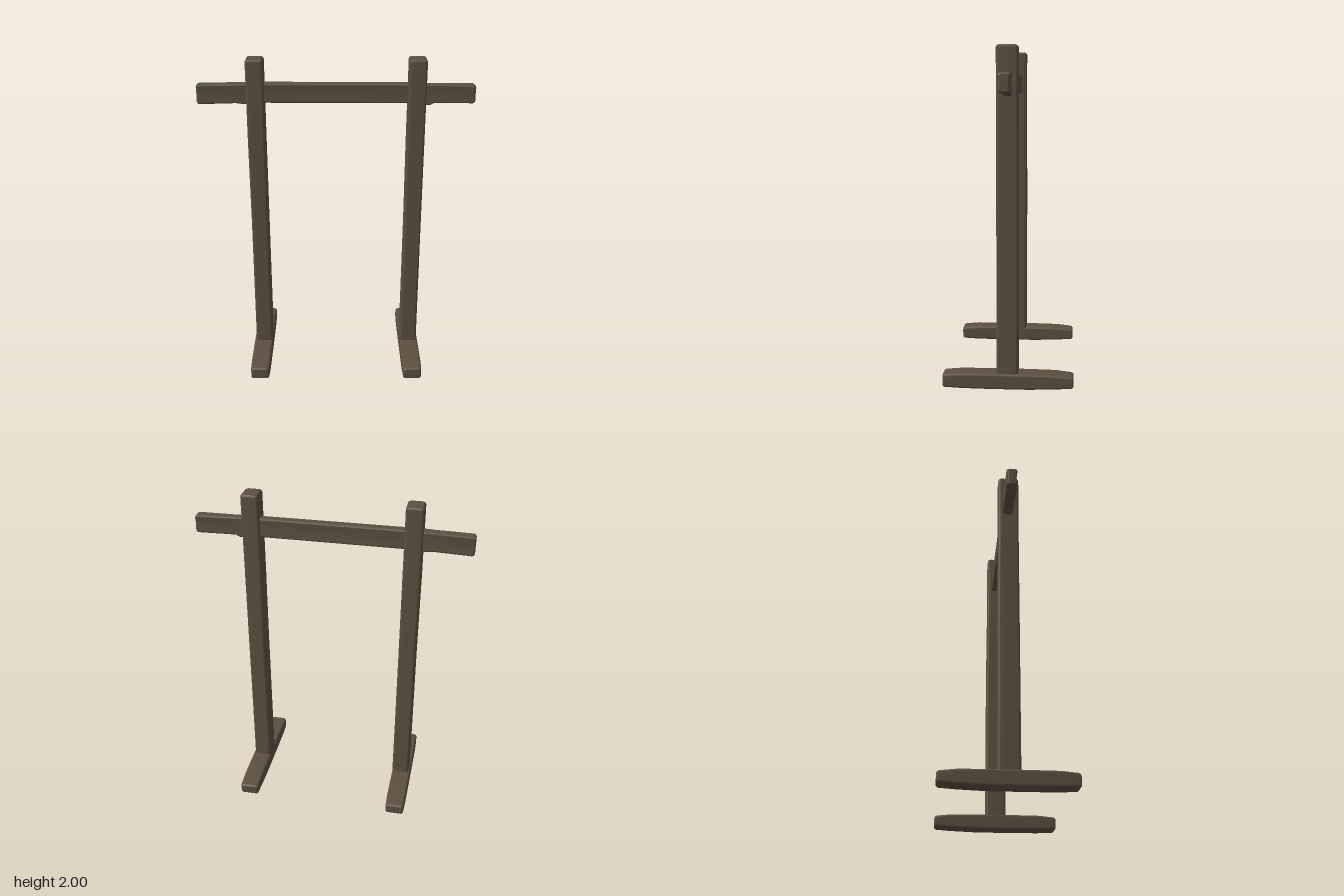
import * as THREE from 'three';

// Rounded rectangle loop, counter-clockwise; pinch hollows the two v sides.
function sectionLoop([t, u0, u1, v0, v1], r, pinch) {
  const pts = [];
  const cu = (u0 + u1) / 2, cv = (v0 + v1) / 2, hu = (u1 - u0) / 2, hv = (v1 - v0) / 2;
  [[1, 1], [-1, 1], [-1, -1], [1, -1]].forEach(([su, sv], k) => {
    for (let i = 0; i <= 3; i++) {
      const a = (k + i / 3) * Math.PI / 2;
      pts.push([cu + su * (hu - r) + r * Math.cos(a), cv + sv * (hv - r) + r * Math.sin(a), t]);
    }
    if (k === 0) pts.push([cu, cv + hv - pinch, t]);
    if (k === 2) pts.push([cu, cv - hv + pinch, t]);
  });
  return pts;
}

// Timber lofted through stations [t, u0, u1, v0, v1]; order gives the world axes of u, v and t.
function timber(stations, order, r, pinch = 0) {
  const soft = 0.014;
  const shrink = ([t, a, b, c, d], nt) => [nt, a + soft * 0.7, b - soft * 0.7, c + soft * 0.7, d - soft * 0.7];
  const first = stations[0], last = stations[stations.length - 1];
  const inner = stations.map((s) => [...s]);
  inner[0][0] += soft;
  inner[inner.length - 1][0] -= soft;
  const mid = (s, dt) => [s[0] + dt, s[1] + 0.003, s[2] - 0.003, s[3] + 0.003, s[4] - 0.003];
  const all = [shrink(first, first[0]), mid(first, soft * 0.4), ...inner,
    mid(last, -soft * 0.4), shrink(last, last[0])];
  const loops = all.map((s) => sectionLoop(s, r, pinch));
  const n = loops[0].length, pos = [], idx = [];
  const put = (p) => {
    const q = [0, 0, 0];
    order.forEach((axis, i) => { q[axis] = p[i]; });
    pos.push(...q);
    return pos.length / 3 - 1;
  };
  loops.forEach((loop) => loop.forEach(put));
  for (let i = 0; i < loops.length - 1; i++) {
    for (let j = 0; j < n; j++) {
      const a = i * n + j, b = i * n + (j + 1) % n;
      idx.push(a, b, b + n, a, b + n, a + n);
    }
  }
  // End caps
  [[loops[0], all[0], true], [loops[loops.length - 1], all[all.length - 1], false]].forEach(([loop, s, flip]) => {
    const c = put([(s[1] + s[2]) / 2, (s[3] + s[4]) / 2, s[0]]);
    const ring = loop.map(put);
    ring.forEach((p, j) => {
      const q = ring[(j + 1) % n];
      idx.push(c, flip ? q : p, flip ? p : q);
    });
  });
  const geo = new THREE.BufferGeometry();
  geo.setAttribute('position', new THREE.Float32BufferAttribute(pos, 3));
  geo.setIndex(idx);
  geo.computeVertexNormals();
  return geo;
}

export function createModel() {
  const model = new THREE.Group();
  model.name = 'timberFrame';
  const wood = new THREE.MeshStandardMaterial({ color: 0x5c4f40 });
  wood.name = 'darkWood';
  const add = (name, geo, x = 0) => {
    const mesh = new THREE.Mesh(geo, wood);
    mesh.name = name;
    mesh.position.x = x;
    model.add(mesh);
  };

  // Upright posts: u = z, v = x, running up y
  const post = [
    [0.04, -0.06, 0.066, -0.053, 0.055],
    [0.5, -0.06, 0.066, -0.052, 0.054],
    [1.0, -0.062, 0.066, -0.051, 0.053],
    [1.5, -0.059, 0.065, -0.053, 0.053],
    [2.0, -0.059, 0.066, -0.052, 0.053],
  ];
  // Feet: u = x, v = y, running along z, with slightly raised tips
  const foot = [
    [-0.388, -0.058, 0.058, 0.012, 0.082],
    [-0.28, -0.06, 0.06, 0.006, 0.092],
    [-0.12, -0.06, 0.06, 0.0, 0.095],
    [0.12, -0.06, 0.06, 0.0, 0.095],
    [0.28, -0.06, 0.06, 0.002, 0.094],
    [0.388, -0.058, 0.058, 0.006, 0.086],
  ];
  [['left', 1], ['right', -1]].forEach(([side, s]) => {
    add(side + 'Post', timber(post, [2, 0, 1], 0.014), s * 0.483);
    add(side + 'Foot', timber(foot, [0, 1, 2], 0.014), s * 0.488);
  });

  // Crossbeam through both posts: u = y, v = z, running along x
  add('crossbeam', timber([
    [-0.835, 1.724, 1.844, -0.036, 0.03],
    [-0.6, 1.73, 1.848, -0.034, 0.029],
    [-0.55, 1.724, 1.85, -0.034, 0.029],
    [-0.42, 1.732, 1.851, -0.033, 0.027],
    [0.42, 1.73, 1.848, -0.032, 0.027],
    [0.56, 1.716, 1.845, -0.027, 0.026],
    [0.585, 1.73, 1.844, -0.028, 0.026],
    [0.833, 1.73, 1.84, -0.038, 0.032],
  ], [1, 2, 0], 0.011, 0.006));
  return model;
}
